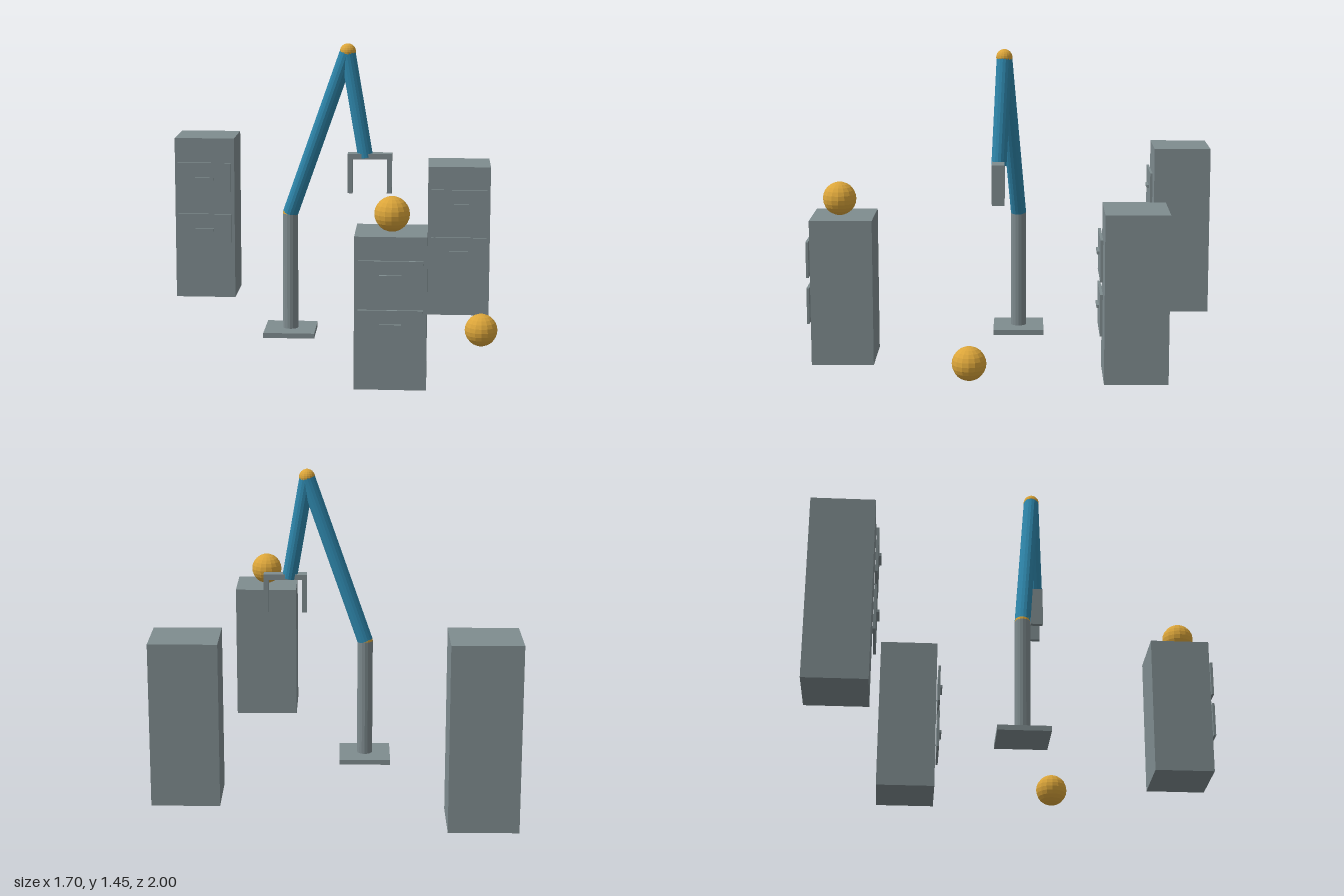
import * as THREE from 'three';

export function createModel() {
  const model = new THREE.Group();
  const mat = (name, color, flatShading = false) =>
    Object.assign(new THREE.MeshStandardMaterial({ color, flatShading }), { name });
  const grey = mat('steelGrey', 0x7f8c8f, true);
  const blue = mat('armBlue', 0x2e86ab, true);
  const amber = mat('amber', 0xdba53a, true);

  const add = (parent, name, geometry, material, x, y, z) => {
    const mesh = new THREE.Mesh(geometry, material);
    mesh.name = name;
    mesh.position.set(x, y, z);
    parent.add(mesh);
    return mesh;
  };
  const box = (parent, name, w, h, d, x, y, z) =>
    add(parent, name, new THREE.BoxGeometry(w, h, d), grey, x, y, z);
  const ball = (parent, name, r, x, y, z) =>
    add(parent, name, new THREE.SphereGeometry(r, 16, 12), amber, x, y, z);

  // Round bar between two points
  const bar = (parent, name, material, a, b, r) => {
    const dir = b.clone().sub(a);
    const mid = a.clone().add(b).multiplyScalar(0.5);
    const mesh = add(parent, name, new THREE.CylinderGeometry(r, r, dir.length(), 16), material, mid.x, mid.y, mid.z);
    mesh.quaternion.setFromUnitVectors(new THREE.Vector3(0, 1, 0), dir.normalize());
  };

  // Two-drawer cabinets: centre x, front z, height
  const cabinets = [
    ['backCabinet', -0.695, -0.708, 0.87],
    ['sideCabinet', 0.665, -0.393, 0.78],
    ['frontCabinet', 0.35, 0.968, 0.69],
  ];
  for (const [name, x, front, h] of cabinets) {
    const cabinet = new THREE.Group();
    cabinet.name = name;
    cabinet.position.set(x, 0, front);
    box(cabinet, 'cabinetBody', 0.32, h, 0.292, 0, h / 2, -0.146);
    for (const level of [0.406, 0.726]) {
      box(cabinet, 'drawerFront', 0.285, h * 0.247, 0.012, 0, h * level, 0.014);
      box(cabinet, 'drawerHandle', 0.098, 0.014, 0.012, 0, h * (level + 0.024), 0.026);
    }
    model.add(cabinet);
  }

  // Robot arm
  const arm = new THREE.Group();
  arm.name = 'robotArm';
  model.add(arm);
  const foot = new THREE.Vector3(-0.172, 0.025, 0);
  const shoulder = new THREE.Vector3(-0.172, 0.605, 0);
  const elbow = new THREE.Vector3(0.114, 1.413, 0.066);
  const wrist = new THREE.Vector3(0.203, 0.902, 0.091);
  box(arm, 'basePlate', 0.252, 0.025, 0.252, -0.172, 0.0125, 0);
  bar(arm, 'column', grey, foot, shoulder, 0.038);
  bar(arm, 'upperArm', blue, shoulder, elbow, 0.038);
  bar(arm, 'forearm', blue, elbow, wrist, 0.037);
  ball(arm, 'shoulderJoint', 0.038, ...shoulder.toArray());
  ball(arm, 'elbowJoint', 0.039, ...elbow.toArray());

  // Gripper
  box(arm, 'gripperBar', 0.214, 0.027, 0.06, 0.224, 0.91, 0.093);
  for (const side of [-1, 1]) {
    box(arm, 'gripperFinger', 0.024, 0.17, 0.06, 0.224 + side * 0.095, 0.815, 0.093);
  }

  // Loose balls
  ball(model, 'cabinetBall', 0.079, 0.352, 0.769, 0.84);
  ball(model, 'floorBall', 0.079, 0.77, 0.083, 0.218);

  return model;
}
